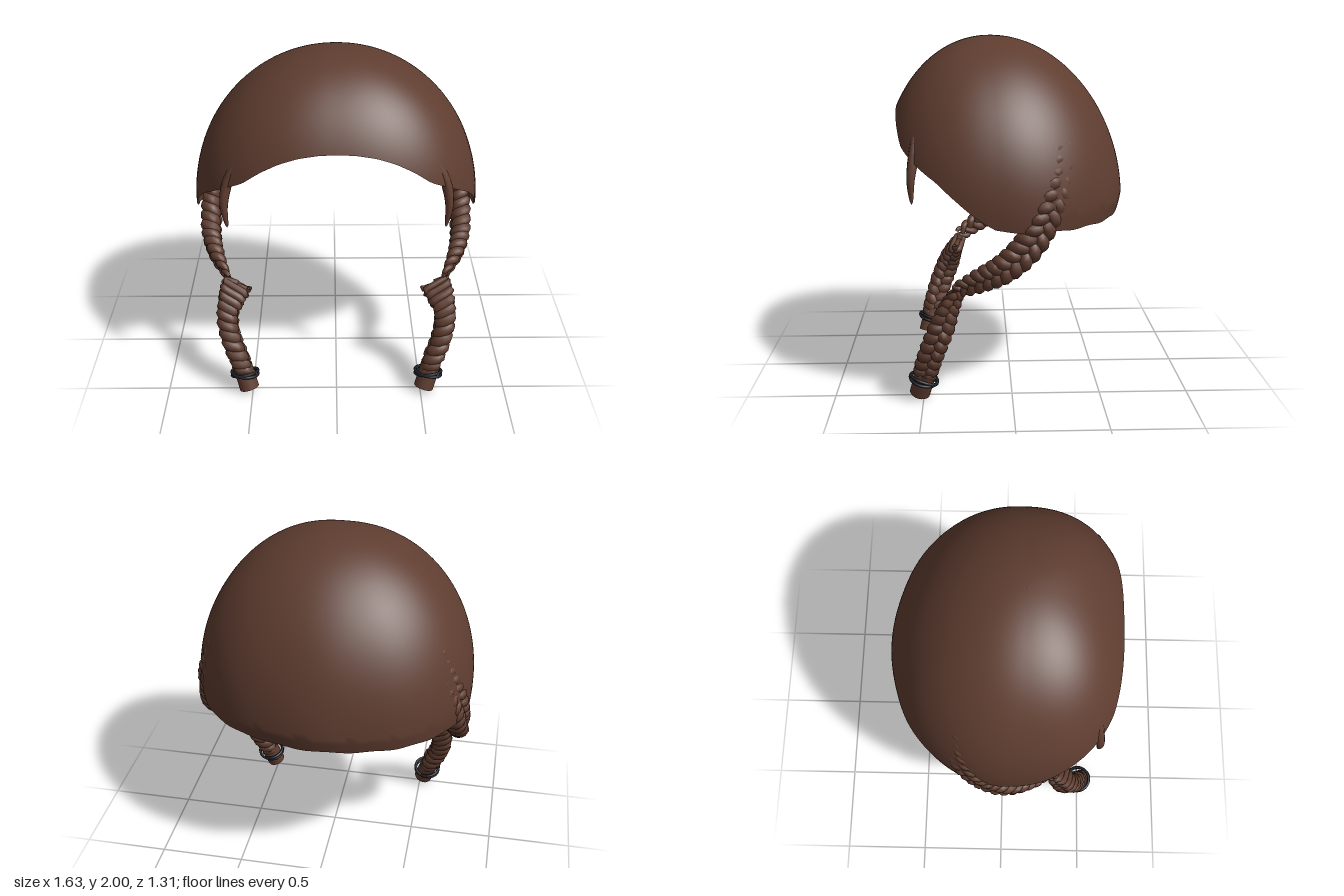
import * as THREE from 'three';
import { ParametricGeometry } from 'three/addons/geometries/ParametricGeometry.js';

const hair = new THREE.MeshStandardMaterial({ color: 0x5f3d30, side: THREE.DoubleSide });
const band = new THREE.MeshStandardMaterial({ color: 0x1b2028 });
const V = (x, y, z) => new THREE.Vector3(x, y, z);

// Hairline height by angle away from the front
const RIM = [[0, 1.612], [0.1, 1.607], [0.23, 1.59], [0.37, 1.555], [0.51, 1.5], [0.65, 1.425],
  [0.85, 1.36], [1.11, 1.27], [1.27, 1.18], [1.4, 1.1], [1.52, 1.035], [1.65, 1.01], [3.2, 1.01]];
function rimHeight(a) {
  let i = 0;
  while (i < RIM.length - 2 && a > RIM[i + 1][0]) i++;
  const [a0, y0] = RIM[i], [a1, y1] = RIM[i + 1];
  return y0 + (y1 - y0) * (a - a0) / (a1 - a0);
}

// Open dome of hair: rounded sections, a flatter front, a raised front hairline and a tucked nape
function capPoint(u, v, target) {
  const th = Math.PI * (1 - 2 * u), s = Math.sin(th), c = Math.cos(th);
  const rim = rimHeight(Math.abs(th)) + (c < 0 ? 0.004 * Math.sin(th * 20) : 0);
  const phi = (0.002 + 0.998 * v) * Math.acos((rim - 1.12) / 0.88);
  const y = 1.12 + 0.88 * Math.cos(phi), r = Math.sin(phi);
  const e = 2 / (c > 0 ? 2.4 : 2.08);
  const tuck = 1 - 0.35 * Math.max(0, 1.1 - y);
  const depth = c > 0 ? 0.685 : 0.705 * tuck * (1 - 0.006 * Math.cos(th * 9) * c * c * v);
  target.set(
    0.81 * r * Math.sign(s) * Math.abs(s) ** e,
    y,
    0.04 + 0.07 * (y - 1.01) + depth * r * Math.sign(c) * Math.abs(c) ** e);
}

// Tube whose radius follows a rule
function taperedTube(curve, segments, sides, radius) {
  const g = new THREE.TubeGeometry(curve, segments, 1, sides);
  const p = g.attributes.position, q = V(0, 0, 0);
  for (let i = 0; i <= segments; i++) {
    const centre = curve.getPointAt(i / segments), r = radius(i / segments);
    for (let j = 0; j <= sides; j++) {
      const k = i * (sides + 1) + j;
      q.fromBufferAttribute(p, k).sub(centre).multiplyScalar(r).add(centre);
      p.setXYZ(k, q.x, q.y, q.z);
    }
  }
  return g;
}

// Three-strand braid; keys are [x, y, z, sway outward, sway across, strand radius]
function braid(name, side, keys, turns) {
  const group = new THREE.Group();
  group.name = name;
  const path = new THREE.CatmullRomCurve3(keys.map(k => V(side * k[0], k[1], k[2])));
  const sizes = new THREE.CatmullRomCurve3(keys.map(k => V(k[3], k[4], k[5])));
  const steps = turns * 14;
  for (let n = 0; n < 3; n++) {
    const points = [];
    for (let i = 0; i <= steps; i++) {
      const t = i / steps, a = 2 * Math.PI * (turns * t + n / 3);
      const centre = path.getPoint(t), tangent = path.getTangent(t), size = sizes.getPoint(t);
      // Behind the ear the braid turns to lie along the head
      const across = V(side, 0, Math.min(0, centre.z * 2.4)).cross(tangent).normalize();
      const outward = tangent.clone().cross(across);
      points.push(centre
        .addScaledVector(across, size.y * Math.sin(a))
        .addScaledVector(outward, size.x * Math.sin(2 * a)));
    }
    const curve = new THREE.CatmullRomCurve3(points);
    curve.arcLengthDivisions = 800;
    const radius = t => sizes.getPoint(curve.getUtoTmapping(t)).z;
    const strand = new THREE.Mesh(taperedTube(curve, steps * 2, 10, radius), hair);
    strand.name = 'braidStrand';
    group.add(strand);
  }
  return group;
}

// Cylinder between two points
function rod(a, b, r) {
  const m = new THREE.Mesh(new THREE.CylinderGeometry(r, r, a.distanceTo(b), 20), hair);
  m.position.copy(a).add(b).multiplyScalar(0.5);
  m.quaternion.setFromUnitVectors(V(0, 1, 0), b.clone().sub(a).normalize());
  return m;
}

// Everything that hangs at one side of the face
function sideHair(side) {
  const group = new THREE.Group();
  group.name = side > 0 ? 'leftSideHair' : 'rightSideHair';

  // Loose lock in front of the ear
  const lock = new THREE.CatmullRomCurve3([
    V(side * 0.46, 1.63, 0.495), V(side * 0.535, 1.5, 0.515), V(side * 0.588, 1.38, 0.53),
    V(side * 0.607, 1.26, 0.545), V(side * 0.595, 1.13, 0.543)]);
  const lockMesh = new THREE.Mesh(
    taperedTube(lock, 40, 12, t => 0.001 + 0.042 * Math.sqrt(1 - t) * Math.min(1, 0.3 + t * 1.2)), hair);
  lockMesh.name = 'sideLock';
  group.add(lockMesh);

  // Upper braid, narrowing into the bend
  group.add(braid('upperBraid', side, [
    [0.585, 1.47, -0.25, 0.016, 0.05, 0.04],
    [0.66, 1.3, -0.24, 0.018, 0.05, 0.04],
    [0.725, 1.12, -0.18, 0.02, 0.052, 0.04],
    [0.748, 0.95, -0.09, 0.022, 0.052, 0.04],
    [0.75, 0.82, 0.04, 0.022, 0.046, 0.039],
    [0.71, 0.74, 0.17, 0.016, 0.04, 0.032],
    [0.63, 0.655, 0.31, 0.003, 0.035, 0.013]], 6));

  // Lower braid, starting as a flat fan at the bend
  group.add(braid('lowerBraid', side, [
    [0.58, 0.625, 0.31, 0.085, 0.02, 0.018],
    [0.615, 0.55, 0.35, 0.055, 0.028, 0.031],
    [0.64, 0.45, 0.39, 0.028, 0.036, 0.039],
    [0.62, 0.32, 0.44, 0.022, 0.036, 0.04],
    [0.57, 0.19, 0.48, 0.022, 0.034, 0.04],
    [0.548, 0.11, 0.5, 0.016, 0.024, 0.036]], 4));

  // Blunt tail below the tie
  const top = V(side * 0.56, 0.16, 0.485), end = V(side * 0.52, 0.023, 0.523);
  const tail = rod(top, end, 0.058);
  tail.name = 'braidTail';
  group.add(tail);

  // Tie: two thin rings around the tail at crossing tilts
  for (const tilt of [-0.14, 0.14]) {
    const ring = new THREE.Mesh(new THREE.TorusGeometry(0.078, 0.009, 8, 32), band);
    ring.name = 'hairTie';
    ring.position.set(side * 0.545, 0.115, 0.498);
    ring.quaternion.setFromUnitVectors(V(0, 0, 1), V(side * 0.05 + tilt, 1, -0.3 + tilt * 0.5).normalize());
    group.add(ring);
  }
  return group;
}

export function createModel() {
  const model = new THREE.Group();
  model.name = 'braidedHair';
  const cap = new THREE.Mesh(new ParametricGeometry(capPoint, 128, 48), hair);
  cap.name = 'hairCap';
  model.add(cap, sideHair(1), sideHair(-1));
  return model;
}
